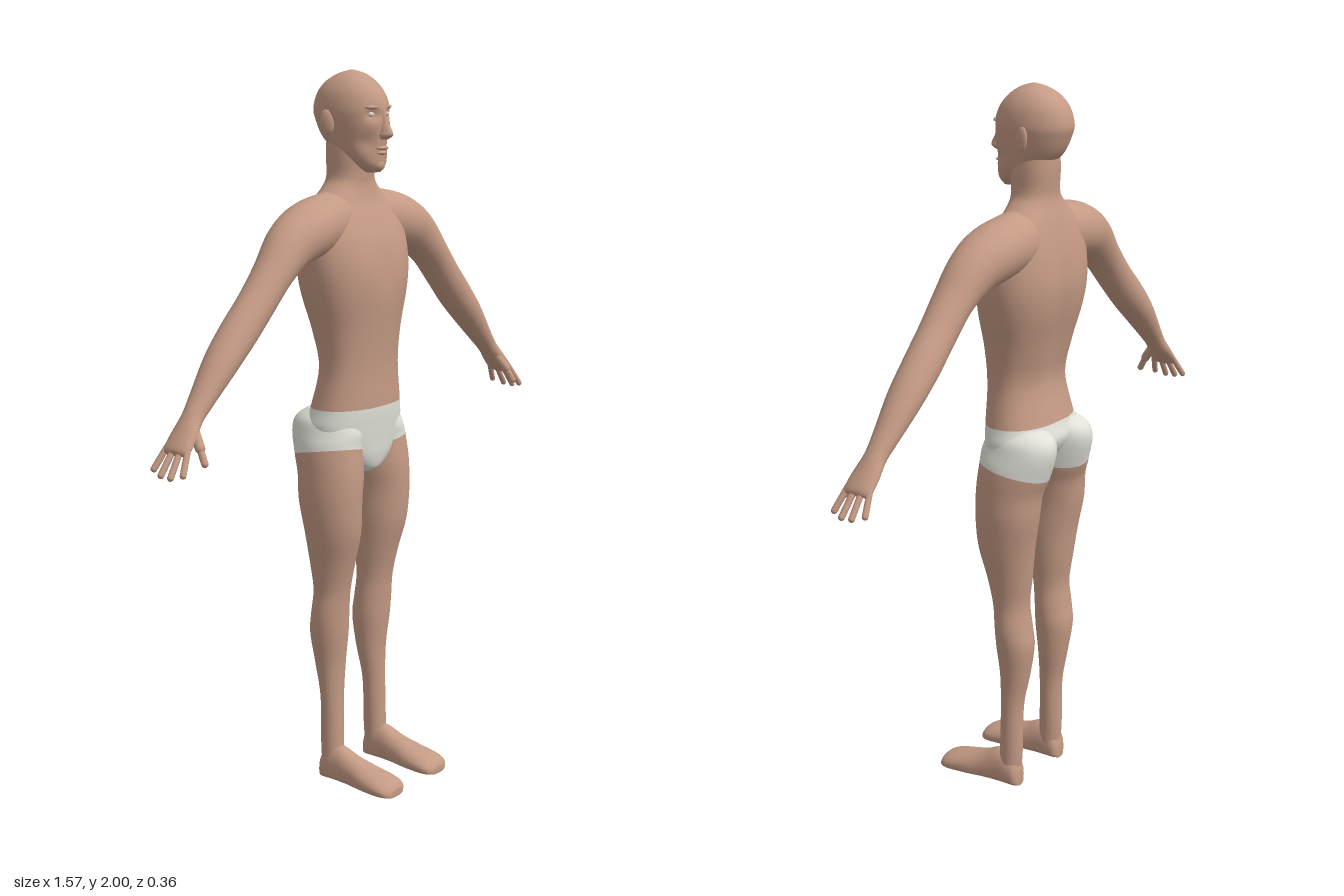
import * as THREE from 'three';

const material = (name, color) => Object.assign(new THREE.MeshStandardMaterial({ color }), { name });
const bump = (d, w) => Math.exp(-((d / w) ** 2));

// Smooth interpolation through rows of numbers, sub steps per interval
function refine(rows, sub) {
  const out = [];
  const last = rows.length - 1;
  for (let k = 0; k <= last * sub; k++) {
    const i = Math.min(Math.floor(k / sub), last - 1);
    const t = k / sub - i;
    const [p0, p1, p2, p3] = [i - 1, i, i + 1, i + 2].map(j => rows[Math.max(0, Math.min(last, j))]);
    out.push(p1.map((b, c) => {
      const m1 = (p2[c] - p0[c]) / 2, m2 = (p3[c] - b) / 2, d = p2[c] - b;
      return b + t * (m1 + t * (3 * d - 2 * m1 - m2 + t * (m1 + m2 - 2 * d)));
    }));
  }
  return out;
}

// Closed skin through cross-sections; place(row, cos, sin) gives each point.
// Rows above control row `split` form group 0, the rest group 1.
function loft(rows, place, { side = 1, sub = 5, n = 32, split = 0 } = {}) {
  const fine = refine(rows, sub);
  const pos = [], idx = [];
  for (const row of fine) {
    for (let j = 0; j < n; j++) {
      const a = j / n * Math.PI * 2;
      const p = place(row, Math.cos(a), Math.sin(a));
      pos.push(p[0] * side, p[1], p[2]);
    }
  }
  const cap = r => {
    const c = [0, 0, 0];
    for (let j = 0; j < n; j++) for (let k = 0; k < 3; k++) c[k] += pos[(r * n + j) * 3 + k] / n;
    pos.push(...c);
    return pos.length / 3 - 1;
  };
  const end = fine.length - 1;
  const c0 = cap(0), c1 = cap(end);
  for (let j = 0; j < n; j++) idx.push(c0, (j + 1) % n, j);
  let cut = 0;
  for (let r = 0; r < end; r++) {
    if (r === split * sub) cut = idx.length;
    for (let j = 0; j < n; j++) {
      const a = r * n + j, b = r * n + (j + 1) % n;
      idx.push(a, b, a + n, b, b + n, a + n);
    }
  }
  for (let j = 0; j < n; j++) idx.push(c1, end * n + j, end * n + (j + 1) % n);
  // Turn faces outward if the signed volume is negative
  const v = i => new THREE.Vector3().fromArray(pos, i * 3);
  let volume = 0;
  for (let i = 0; i < idx.length; i += 3) volume += v(idx[i]).dot(v(idx[i + 1]).cross(v(idx[i + 2])));
  if (volume < 0) for (let i = 0; i < idx.length; i += 3) [idx[i], idx[i + 1]] = [idx[i + 1], idx[i]];
  const g = new THREE.BufferGeometry();
  g.setAttribute('position', new THREE.Float32BufferAttribute(pos, 3));
  g.setIndex(idx);
  if (split) {
    g.addGroup(0, cut, 0);
    g.addGroup(cut, idx.length - cut, 1);
  }
  g.computeVertexNormals();
  return g;
}

// Horizontal section: [y, half width, front z, back z], slightly squared by power e
const slice = e => ([y, rx, zf, zb], c, s) => [
  Math.sign(c) * Math.abs(c) ** e * rx, y,
  (zf + zb) / 2 + Math.sign(s) * Math.abs(s) ** e * (zf - zb) / 2];

export function createModel() {
  const model = new THREE.Group();
  model.name = 'figure';
  const skin = material('skin', 0xc49a84);
  const cloth = material('briefs cloth', 0xe0e0d8);
  const eyeWhite = material('eye', 0xd6cabf);
  const add = (name, geometry, mat = skin) => {
    const mesh = new THREE.Mesh(geometry, mat);
    mesh.name = name;
    model.add(mesh);
    return mesh;
  };
  const blob = (name, x, y, z, rx, ry, rz, mat) => {
    const m = add(name, new THREE.SphereGeometry(1, 20, 14), mat);
    m.position.set(x, y, z);
    m.scale.set(rx, ry, rz);
    return m;
  };
  const rod = (name, a, b, r) => {
    const p = new THREE.Vector3(...a), q = new THREE.Vector3(...b), d = q.clone().sub(p);
    const m = add(name, new THREE.CapsuleGeometry(r, d.length(), 5, 10));
    m.position.copy(p).add(q).multiplyScalar(0.5);
    m.quaternion.setFromUnitVectors(new THREE.Vector3(0, 1, 0), d.normalize());
  };

  // Torso and neck, with the cloth below the waistband
  const torsoSlice = slice(0.88);
  add('torso', loft([
    [1.84, 0.06, 0, -0.12], [1.78, 0.066, 0.005, -0.122], [1.72, 0.069, 0, -0.118],
    [1.69, 0.088, 0, -0.122], [1.65, 0.135, 0.01, -0.135], [1.6, 0.18, 0.032, -0.148],
    [1.54, 0.19, 0.055, -0.16], [1.47, 0.188, 0.068, -0.166], [1.4, 0.175, 0.068, -0.158],
    [1.3, 0.148, 0.057, -0.132], [1.2, 0.137, 0.05, -0.112], [1.09, 0.155, 0.051, -0.135],
    [1.04, 0.166, 0.048, -0.148], [0.99, 0.15, 0.044, -0.12], [0.95, 0.105, 0.04, -0.09],
    [0.915, 0.05, 0.03, -0.06], [0.9, 0.02, 0.01, -0.04],
  ], (row, c, s) => {
    const p = torsoSlice(row, c, s);
    // Spine furrow and breastbone hollow
    if (s < 0) p[2] += 0.014 * bump(p[0], 0.035) * bump(p[1] - 1.36, 0.18);
    else p[2] -= 0.007 * bump(p[0], 0.03) * bump(p[1] - 1.47, 0.08);
    return p;
  }, { n: 56, split: 11 }), [skin, cloth]);

  // Head with eye sockets and hollow cheeks
  const headSlice = slice(0.94);
  add('head', loft([
    [1.73, 0.022, 0.036, 0], [1.75, 0.043, 0.048, -0.03], [1.78, 0.061, 0.051, -0.085],
    [1.82, 0.073, 0.055, -0.135], [1.87, 0.083, 0.058, -0.16], [1.9, 0.085, 0.056, -0.165],
    [1.94, 0.077, 0.04, -0.152], [1.97, 0.059, 0.014, -0.126], [1.99, 0.034, -0.016, -0.091],
    [2, 0.004, -0.048, -0.058],
  ], (row, c, s) => {
    const p = headSlice(row, c, s);
    const x = Math.abs(p[0]);
    if (s > 0) {
      p[2] -= 0.014 * bump(x - 0.034, 0.018) * bump(p[1] - 1.884, 0.016);
      p[2] -= 0.01 * bump(x - 0.045, 0.02) * bump(p[1] - 1.81, 0.025);
    }
    return p;
  }, { n: 56, sub: 8 }));
  add('nose', loft([
    [1.895, 0.007, 0.057, 0.03], [1.865, 0.01, 0.066, 0.03], [1.84, 0.015, 0.08, 0.03],
    [1.828, 0.018, 0.081, 0.03], [1.818, 0.012, 0.066, 0.03],
  ], slice(1), { n: 16 }));
  blob('upperLip', 0, 1.795, 0.049, 0.024, 0.006, 0.011);
  blob('lowerLip', 0, 1.782, 0.047, 0.02, 0.006, 0.011);
  blob('chin', 0, 1.75, 0.036, 0.022, 0.018, 0.016);

  for (const side of [1, -1]) {
    const tag = side > 0 ? 'left' : 'right';

    // Face details and ears
    blob(tag + 'Eye', side * 0.033, 1.884, 0.036, 0.012, 0.007, 0.008, eyeWhite);
    blob(tag + 'Brow', side * 0.034, 1.903, 0.04, 0.022, 0.006, 0.01).rotation.y = side * 0.35;
    const ear = blob(tag + 'Ear', side * 0.086, 1.863, -0.072, 0.009, 0.034, 0.021);
    ear.rotation.set(-0.15, -side * 0.25, 0);

    // Arm and palm: [x, y, z, radius in front plane, radius in z, tilt]
    add(tag + 'Arm', loft([
      [0.03, 1.6, -0.06, 0.085, 0.07, 0], [0.13, 1.594, -0.06, 0.08, 0.08, 0.1],
      [0.21, 1.577, -0.055, 0.076, 0.08, 0.3], [0.285, 1.542, -0.05, 0.066, 0.066, 0.6],
      [0.352, 1.483, -0.045, 0.052, 0.056, 0.8], [0.42, 1.412, -0.045, 0.05, 0.051, 0.8],
      [0.49, 1.343, -0.047, 0.05, 0.05, 0.78], [0.56, 1.275, -0.047, 0.043, 0.047, 0.78],
      [0.63, 1.2, -0.045, 0.031, 0.036, 0.8], [0.67, 1.157, -0.043, 0.025, 0.031, 0.85],
      [0.705, 1.118, -0.04, 0.02, 0.04, 0.85], [0.735, 1.086, -0.038, 0.015, 0.043, 0.8],
      [0.744, 1.077, -0.038, 0.008, 0.036, 0.8],
    ], ([x, y, z, r, rz, a], c, s) =>
      [x + c * r * Math.sin(a), y + c * r * Math.cos(a), z + s * rz], { side }));

    // Fingers and thumb
    [[-0.073, -0.086, 0.768, 1.038], [-0.05, -0.052, 0.779, 1.028],
      [-0.027, -0.02, 0.779, 1.026], [-0.004, 0.012, 0.768, 1.034]].forEach(([z0, z1, x, y], i) =>
      rod(`${tag}Finger${i + 1}`, [side * 0.732, 1.09, z0], [side * x, y, z1], 0.0085));
    rod(tag + 'ThumbBase', [side * 0.688, 1.13, -0.022], [side * 0.7, 1.09, 0.008], 0.013);
    rod(tag + 'Thumb', [side * 0.7, 1.09, 0.008], [side * 0.706, 1.055, 0.028], 0.0095);

    // Leg with buttock: [y, centre x, half width, centre z, half depth]
    add(tag + 'Leg', loft([
      [1.086, 0.085, 0.04, -0.085, 0.045], [1.06, 0.086, 0.073, -0.075, 0.094],
      [1.02, 0.09, 0.083, -0.07, 0.109], [0.955, 0.099, 0.087, -0.06, 0.1],
      [0.9, 0.106, 0.085, -0.048, 0.096], [0.83, 0.112, 0.08, -0.045, 0.093],
      [0.74, 0.108, 0.074, -0.04, 0.082], [0.65, 0.102, 0.063, -0.046, 0.065],
      [0.57, 0.1, 0.055, -0.05, 0.051], [0.5, 0.1, 0.059, -0.057, 0.051],
      [0.44, 0.098, 0.057, -0.062, 0.053], [0.35, 0.096, 0.046, -0.06, 0.042],
      [0.25, 0.099, 0.036, -0.052, 0.032], [0.12, 0.101, 0.033, -0.05, 0.033],
      [0.05, 0.102, 0.032, -0.046, 0.033],
    ], ([y, x, rx, z, rz], c, s) => {
      // The leg opening rises at the front and the outer side
      const rise = (0.01 + 0.018 * s + 0.012 * c) * bump(y - 0.955, 0.05);
      return [x + c * rx, y + rise, z + s * rz];
    }, { side, split: 3, n: 40 }), [cloth, skin]);

    // Foot, flat below: [z, half width, height]
    add(tag + 'Foot', loft([
      [-0.083, 0.016, 0.045], [-0.072, 0.03, 0.08], [-0.045, 0.035, 0.1], [-0.01, 0.037, 0.102],
      [0.035, 0.042, 0.082], [0.09, 0.052, 0.064], [0.14, 0.055, 0.05], [0.168, 0.047, 0.038],
      [0.18, 0.028, 0.022],
    ], ([z, rx, h], c, s) => {
      const low = s < 0 ? Math.sign(s) * Math.abs(s) ** 0.5 : s;
      return [0.104 + c * rx, 0.005 + h * 0.4 + low * h * (s < 0 ? 0.4 : 0.6), z];
    }, { side }));
  }
  return model;
}
